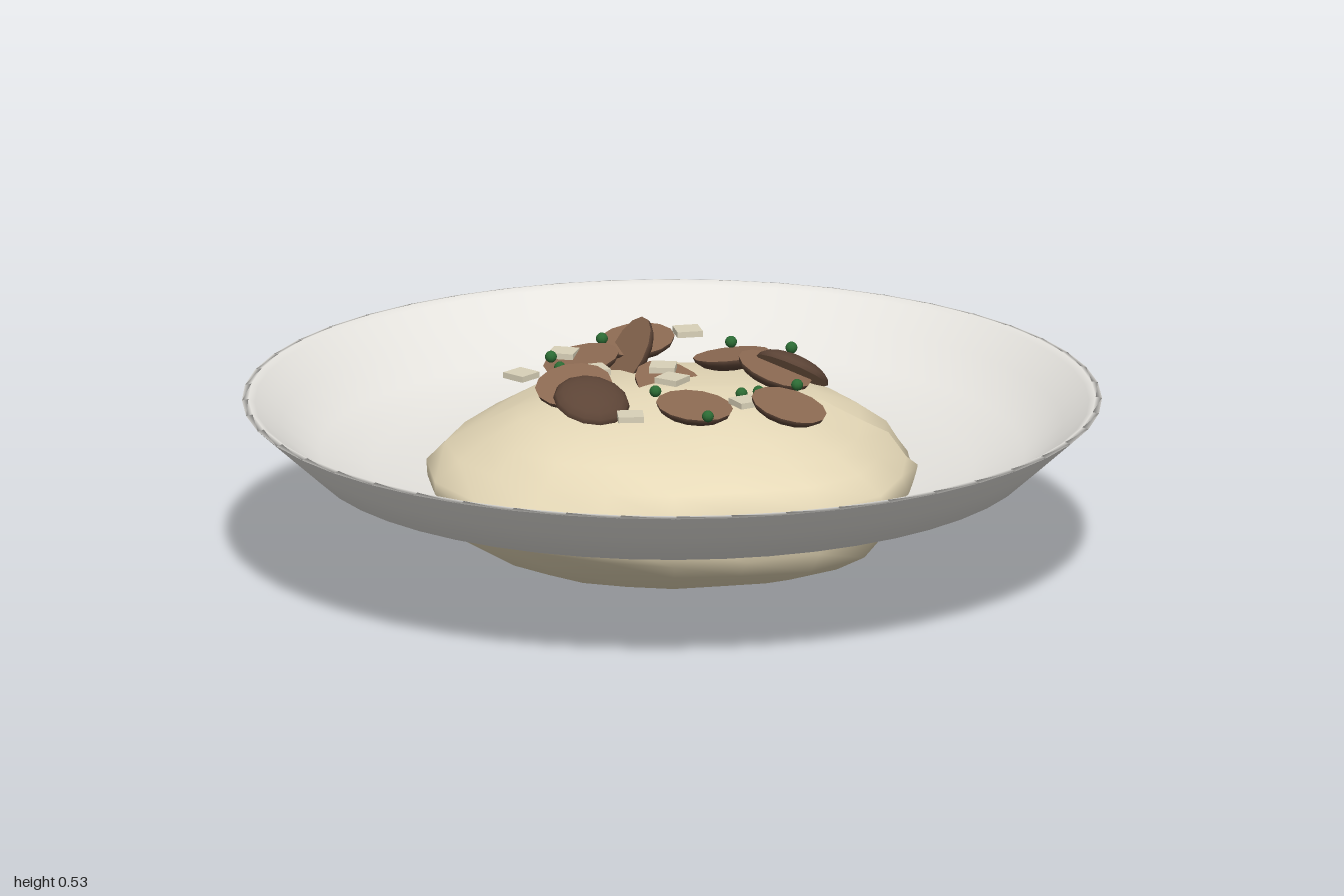
import * as THREE from 'three';

const mat = (color, extra = {}) => new THREE.MeshStandardMaterial({ color, ...extra });

function add(parent, name, geometry, material, x = 0, y = 0, z = 0) {
  const mesh = new THREE.Mesh(geometry, material);
  mesh.name = name;
  mesh.position.set(x, y, z);
  parent.add(mesh);
  return mesh;
}

// Thin dish: outer wall, rim and inner wall in one profile
function dishGeometry() {
  const profile = [
    [0, 0.22], [0.3, 0.22], [0.58, 0.222], [0.84, 0.275], [0.92, 0.347], [1, 0.42],
    [0.985, 0.423], [0.97, 0.415], [0.91, 0.362], [0.82, 0.295], [0.7, 0.262], [0.55, 0.236], [0.3, 0.23], [0, 0.23],
  ];
  return new THREE.LatheGeometry(profile.map(([r, y]) => new THREE.Vector2(r, y)), 48);
}

// Lumpy flattened ball, with a torn zigzag seam on the +x side
function moundGeometry() {
  const radii = [0.55, 0.57, 0.6, 0.59, 0.55, 0.56, 0.555, 0.575, 0.58, 0.585, 0.58,
    0.55, 0.55, 0.59, 0.62, 0.59, 0.59, 0.59, 0.58, 0.58, 0.57];
  const cols = radii.length - 1, rows = 14;
  const positions = [], index = [];
  for (let j = 0; j <= rows; j++) {
    const phi = (j / rows) * Math.PI;
    for (let i = 0; i <= cols; i++) {
      const a = (i / cols) * Math.PI * 2;
      const bump = 1 + 0.02 * Math.sin(3 * a + 2 * j) * Math.sin(phi);
      const r = radii[i] * Math.sin(phi) * bump;
      const seam = i === 0 || i === cols ? Math.sin(phi) : 0;
      const zig = seam * (j % 2 ? -0.075 : -0.01);
      const pull = i === 0 ? 0.015 * seam : i === cols ? -0.02 * seam : 0;
      positions.push(
        r * Math.cos(a) + pull,
        0.23 + 0.22 * Math.cos(phi) + 0.008 * Math.sin(2 * a + j) * Math.sin(phi),
        r * Math.sin(a) + zig);
      if (i < cols && j < rows) {
        const p = j * (cols + 1) + i, q = p + cols + 1;
        index.push(p, p + 1, q, p + 1, q + 1, q);
      }
    }
  }
  const g = new THREE.BufferGeometry();
  g.setAttribute('position', new THREE.Float32BufferAttribute(positions, 3));
  g.setIndex(index);
  g.computeVertexNormals();
  return g;
}

export function createModel() {
  const model = new THREE.Group();
  model.name = 'dishOfFood';

  add(model, 'dish', dishGeometry(), mat(0xe6e4df, { side: THREE.DoubleSide }));
  add(model, 'mound', moundGeometry(), mat(0xe6d9b8, { side: THREE.DoubleSide }));

  // Round slices: flat cut face over a shallow dark dome
  const faceGeo = new THREE.CircleGeometry(0.09, 14).rotateX(-Math.PI / 2);
  const domeGeo = new THREE.SphereGeometry(0.09, 14, 5, 0, Math.PI * 2, Math.PI / 2, Math.PI / 2).scale(1, 0.4, 1);
  const faceMat = mat(0x8c6a52), domeMat = mat(0x5c4436);
  // x, y, z, tilt about x, tilt about z
  const slices = [
    [-0.08, 0.47, -0.33, 0.15, 0.1], [-0.1, 0.465, -0.24, 0.5, 0.95], [0.14, 0.465, -0.22, -0.1, 0.1],
    [-0.21, 0.475, -0.15, 0.1, 0.2], [0.24, 0.485, -0.03, 0.1, -0.35], [0.28, 0.48, -0.03, 2.7, 0.4],
    [-0.23, 0.485, 0.1, 0.3, 0.1], [-0.19, 0.49, 0.26, 3.5, 0.15], [0.05, 0.475, 0.24, 0.12, -0.1],
    [0.27, 0.475, 0.24, 0.15, -0.25], [0, 0.44, -0.05, 0.35, -0.3],
  ];
  for (const [x, y, z, rx, rz] of slices) {
    const slice = new THREE.Group();
    slice.name = 'roundSlice';
    add(slice, 'cutFace', faceGeo, faceMat);
    add(slice, 'darkDome', domeGeo, domeMat);
    slice.position.set(x, y, z);
    slice.rotation.set(rx, 0, rz);
    model.add(slice);
  }

  // Pale square flakes
  const flakeGeo = new THREE.BoxGeometry(0.06, 0.014, 0.06), flakeMat = mat(0xd9d1b8);
  const flakes = [[0.04, -0.37], [-0.25, -0.19], [-0.35, -0.01], [-0.18, -0.05],
    [-0.02, -0.07], [0, 0.03], [0.17, 0.22], [-0.1, 0.34]];
  flakes.forEach(([x, z], i) => {
    add(model, 'flake', flakeGeo, flakeMat, x, 0.477, z).rotation.y = 0.2 + i * 1.1;
  });

  // Small green beads of garnish
  const beadGeo = new THREE.SphereGeometry(0.014, 10, 8), beadMat = mat(0x2c6b34);
  const beads = [[-0.16, -0.3], [0.14, -0.27], [0.28, -0.22], [-0.28, -0.15], [-0.26, -0.06],
    [0.29, 0.09], [0.2, 0.145], [0.16, 0.16], [-0.04, 0.14], [0.08, 0.35]];
  for (const [x, z] of beads) add(model, 'greenBead', beadGeo, beadMat, x, 0.48, z);

  return model;
}
